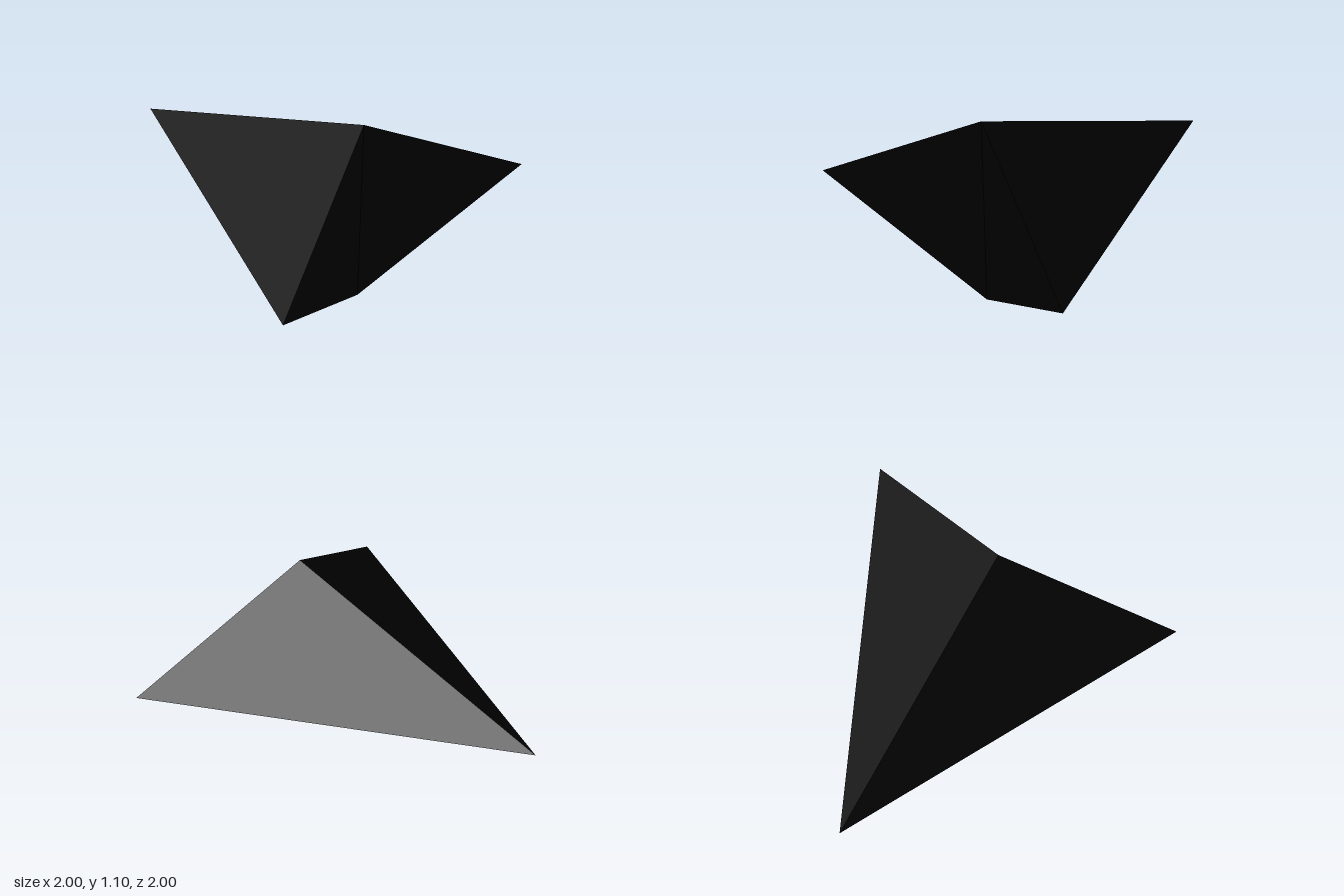
import * as THREE from 'three';

const MID = 0.55; // height of the horizontal symmetry plane
const NOTCH_Z = 0.65; // depth of the ridge line in the front notch

// Triangles in the +x, upper quarter, as offsets from the symmetry plane
const tip = [0, 0, -1];
const wing = [1, 0, 1];
const ridge = [0, MID, NOTCH_Z];
const centre = [0, 0, NOTCH_Z];
const hullFace = [tip, ridge, wing];
const notchFace = [wing, ridge, centre];

// Mirrors one triangle into all four quarters, keeping it facing outward
function mirroredFaces(face) {
  const positions = [];
  for (const sx of [1, -1]) {
    for (const sy of [1, -1]) {
      const corners = sx * sy > 0 ? face : [...face].reverse();
      for (const [x, y, z] of corners) positions.push(sx * x, MID + sy * y, z);
    }
  }
  const geometry = new THREE.BufferGeometry();
  geometry.setAttribute('position', new THREE.Float32BufferAttribute(positions, 3));
  geometry.computeVertexNormals();
  return geometry;
}

export function createModel() {
  const group = new THREE.Group();
  group.name = 'arrowhead';
  const black = new THREE.MeshStandardMaterial({ color: 0x000000, flatShading: true });

  // Long tapering sides that meet at the rear tip
  const hull = new THREE.Mesh(mirroredFaces(hullFace), black);
  hull.name = 'hull';

  // Inward-folded faces between the two wing tips
  const notch = new THREE.Mesh(mirroredFaces(notchFace), black);
  notch.name = 'frontNotch';

  group.add(hull, notch);
  return group;
}
